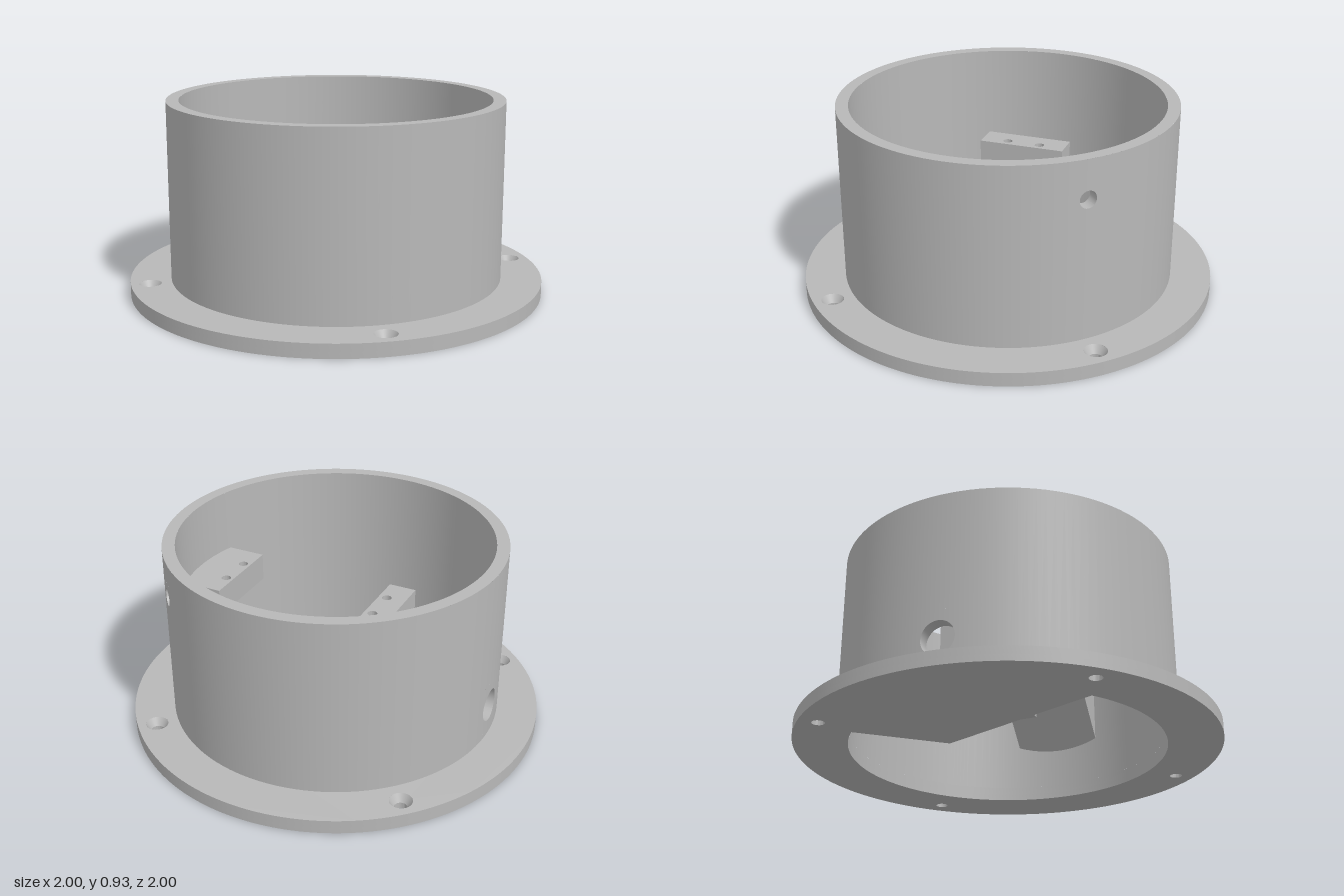
import * as THREE from 'three';
import { toCreasedNormals } from 'three/addons/utils/BufferGeometryUtils.js';

const R_IN = 0.745, R_OUT = 0.805, R_FLANGE = 1;
const FLANGE_H = 0.067, TOP = 0.93, BLOCK_TOP = 0.617;
const rad = THREE.MathUtils.degToRad;

const grey = new THREE.MeshStandardMaterial({ color: 0xb8b8b8 });
grey.name = 'plain grey';

function add(parent, name, geometry) {
  const mesh = new THREE.Mesh(geometry, grey);
  mesh.name = name;
  parent.add(mesh);
  return mesh;
}

// Flat shape (x, z) raised between two heights
function slab(shape, y0, y1, curveSegments = 96) {
  const g = new THREE.ExtrudeGeometry(shape, { depth: y1 - y0, bevelEnabled: false, curveSegments });
  g.rotateX(Math.PI / 2).translate(0, y1, 0);
  return toCreasedNormals(g, rad(30));
}

function circlePath(x, y, r) {
  return new THREE.Path().absarc(x, y, r, 0, Math.PI * 2, true);
}

function ring(rOuter, rInner) {
  const s = new THREE.Shape().absarc(0, 0, rOuter, 0, Math.PI * 2, false);
  s.holes.push(circlePath(0, 0, rInner));
  return s;
}

function rectangle(x0, x1, halfZ) {
  return new THREE.Shape([[x0, -halfZ], [x1, -halfZ], [x1, halfZ], [x0, halfZ]]
    .map(([x, z]) => new THREE.Vector2(x, z)));
}

// Grid surface from fn(i, j) -> [angle, y, radius]; sign sets radial normals
function surface(nu, nv, fn, sign = 0) {
  const pos = [], nor = [], idx = [];
  for (let i = 0; i <= nu; i++) for (let j = 0; j <= nv; j++) {
    const [a, y, r] = fn(i, j);
    pos.push(r * Math.sin(a), y, r * Math.cos(a));
    nor.push(sign * Math.sin(a), 0, sign * Math.cos(a));
    if (i < nu && j < nv) {
      const p = i * (nv + 1) + j, q = p + nv + 1;
      idx.push(p, q, q + 1, p, q + 1, p + 1);
    }
  }
  const g = new THREE.BufferGeometry();
  g.setAttribute('position', new THREE.Float32BufferAttribute(pos, 3));
  g.setAttribute('normal', new THREE.Float32BufferAttribute(nor, 3));
  g.setIndex(idx);
  if (!sign) g.computeVertexNormals();
  return g;
}

// Inner and outer faces of a plain sector of the tube
function wallSector(parent, a0, a1, y0, y1) {
  const n = Math.max(8, Math.ceil((a1 - a0) / rad(3)));
  const mix = THREE.MathUtils.lerp;
  add(parent, 'outerWall', surface(n, 1, (i, j) => [mix(a0, a1, i / n), j ? y1 : y0, R_OUT], 1));
  add(parent, 'innerWall', surface(n, 1, (i, j) => [mix(a1, a0, i / n), j ? y1 : y0, R_IN], -1));
}

// Square wall patch pierced by a radial hole
function piercedPatch(parent, angle, y, holeR, halfA, halfY) {
  const side = 10, count = side * 4, steps = 5;
  const border = [];
  for (let k = 0; k <= count; k++) {
    const s = Math.floor(k / side) % 4, f = (k % side) / side * 2 - 1;
    border.push([[1, f], [-f, 1], [-1, -f], [f, -1]][s]);
  }
  const point = (k, t, r) => {
    const [bx, by] = border[k], phi = Math.atan2(by, bx);
    const a = Math.asin(holeR * Math.cos(phi) / r);
    return [angle + THREE.MathUtils.lerp(a, bx * halfA, t),
      y + THREE.MathUtils.lerp(holeR * Math.sin(phi), by * halfY, t), r];
  };
  add(parent, 'outerWall', surface(steps, count, (i, j) => point(j, i / steps, R_OUT), 1));
  add(parent, 'innerWall', surface(steps, count, (i, j) => point(count - j, i / steps, R_IN), -1));
  add(parent, 'holeBore', surface(count, 1, (i, j) => point(i, 0, j ? R_IN : R_OUT)));
}

// Mounting flange with four countersunk screw holes
function makeFlange() {
  const flange = new THREE.Group();
  flange.name = 'flange';
  const seat = 0.03, rHole = 0.03, rSink = 0.053;
  const lower = ring(R_FLANGE, R_IN), upper = ring(R_FLANGE, R_IN);
  for (let k = 0; k < 4; k++) {
    const a = rad(101.5 + 90 * k);
    const x = 0.908 * Math.sin(a), z = 0.908 * Math.cos(a);
    lower.holes.push(circlePath(x, z, rHole));
    upper.holes.push(circlePath(x, z, rSink));
    const profile = [new THREE.Vector2(rSink, FLANGE_H), new THREE.Vector2(rHole, seat)];
    add(flange, 'countersink', new THREE.LatheGeometry(profile, 32)).position.set(x, 0, z);
  }
  add(flange, 'flangeBase', slab(lower, 0, seat));
  add(flange, 'flangeTop', slab(upper, seat, FLANGE_H));
  return flange;
}

// Tube wall with a small upper hole and a larger lower hole
function makeTube() {
  const tube = new THREE.Group();
  tube.name = 'tube';
  const holes = [
    { a: rad(101.3), y: 0.745, r: 0.041, w: 0.1, h: 0.08 },
    { a: rad(237), y: 0.225, r: 0.08, w: 0.17, h: 0.13 },
  ];
  holes.forEach(({ a, y, r, w, h }, k) => {
    piercedPatch(tube, a, y, r, w, h);
    wallSector(tube, a - w, a + w, FLANGE_H, y - h);
    wallSector(tube, a - w, a + w, y + h, TOP);
    const next = holes[(k + 1) % 2];
    const end = next.a - next.w + (k ? Math.PI * 2 : 0);
    wallSector(tube, a + w, end, FLANGE_H, TOP);
  });
  add(tube, 'rim', new THREE.RingGeometry(R_IN, R_OUT, 120).rotateX(-Math.PI / 2)).position.y = TOP;
  return tube;
}

// Block with two blind screw holes in its top
function drilledBlock(parent, name, x0, x1, halfZ, y0, holeX) {
  const top = rectangle(x0, x1, halfZ), floor = BLOCK_TOP - 0.11;
  for (const z of [-0.083, 0.083]) top.holes.push(circlePath(holeX, z, 0.023));
  add(parent, name + 'Top', slab(top, floor, BLOCK_TOP, 24));
  add(parent, name + 'Base', slab(rectangle(x0, x1, halfZ), y0, floor));
}

// Inner supports, built along local x and turned into place
function makeSupports() {
  const g = new THREE.Group();
  g.name = 'supports';
  const half = 0.213;

  // Floor plate with a window
  const a = Math.atan2(0.567, 0.483), b = rad(37.2);
  const plate = new THREE.Shape();
  plate.moveTo(0.189, -half);
  plate.absarc(0, 0, R_IN + 0.005, -a, a, false);
  plate.lineTo(0.189, half);
  plate.closePath();
  const window = new THREE.Path();
  window.moveTo(0.4, -0.264);
  window.absarc(0, 0, 0.612, -b, b, false);
  window.lineTo(0.4, 0.264);
  window.closePath();
  plate.holes.push(window);
  add(g, 'floorPlate', slab(plate, 0, FLANGE_H));

  // Upright post on the plate
  drilledBlock(g, 'post', 0.189, 0.323, half, FLANGE_H, 0.23);

  // Opposite ledge with a sloping underside
  const front = -0.524, back = -0.77, under = 0.48;
  drilledBlock(g, 'ledge', back, front, half, under, -0.562);
  const wedge = new THREE.Shape([
    new THREE.Vector2(front, under),
    new THREE.Vector2(back, under),
    new THREE.Vector2(back, under + back - front),
  ]);
  const wedgeGeo = new THREE.ExtrudeGeometry(wedge, { depth: half * 2, bevelEnabled: false });
  add(g, 'ledgeWedge', wedgeGeo.translate(0, 0, -half));

  g.rotation.y = rad(147);
  return g;
}

export function createModel() {
  const model = new THREE.Group();
  model.name = 'flangedHousing';
  model.add(makeFlange(), makeTube(), makeSupports());
  return model;
}
